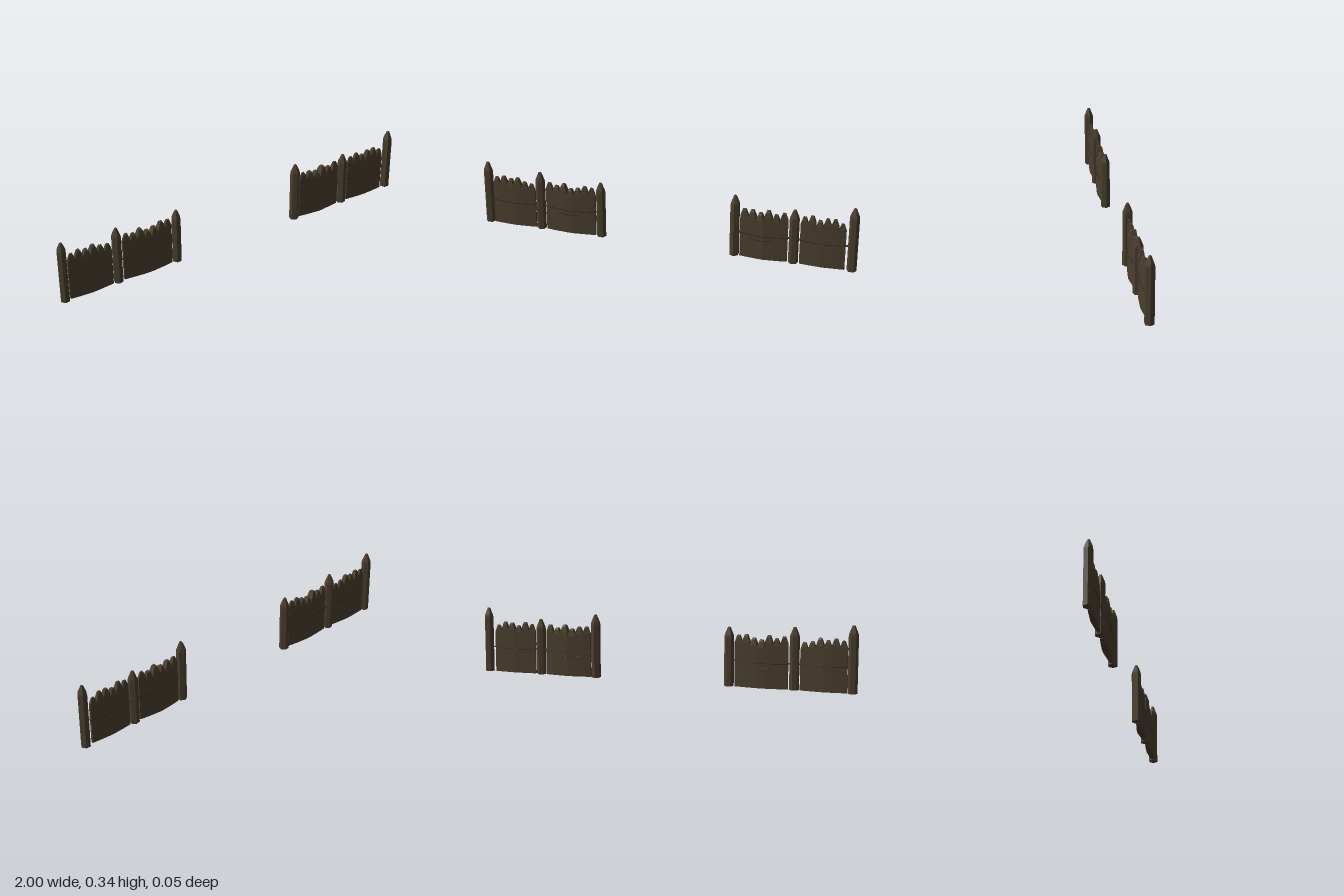
import * as THREE from 'three';

const wood = new THREE.MeshStandardMaterial({ color: 0x4a3e2e });
wood.name = 'darkWood';
const cord = new THREE.MeshStandardMaterial({ color: 0x2c241a });
cord.name = 'darkCord';

// closed flat-shaded solid from stacked rings of points (counter-clockwise seen from above)
function loft(rings) {
  const p = [];
  const n = rings[0].length;
  const tri = (a, b, c) => p.push(...a, ...b, ...c);
  for (let r = 0; r < rings.length - 1; r++) {
    for (let i = 0; i < n; i++) {
      const j = (i + 1) % n;
      const a = rings[r][i], b = rings[r][j], c = rings[r + 1][j], d = rings[r + 1][i];
      tri(a, b, c);
      tri(a, c, d);
    }
  }
  const lo = rings[0], hi = rings[rings.length - 1];
  for (let i = 1; i < n - 1; i++) {
    tri(lo[0], lo[i + 1], lo[i]);
    tri(hi[0], hi[i], hi[i + 1]);
  }
  const g = new THREE.BufferGeometry();
  g.setAttribute('position', new THREE.Float32BufferAttribute(p, 3));
  g.computeVertexNormals();
  return g;
}

// six-sided post with a blunt point
function makePost(x, height, turn) {
  const ring = (y, r) => Array.from({ length: 6 }, (_, i) => {
    const a = turn + i * Math.PI / 3;
    return [Math.cos(a) * r, y, -Math.sin(a) * r];
  });
  const geo = loft([
    ring(0, 0.025), ring(height - 0.05, 0.025),
    ring(height - 0.038, 0.0225), ring(height, 0.007),
  ]);
  const post = new THREE.Mesh(geo, wood);
  post.position.x = x;
  return post;
}

// panel of flat pointed stakes, thickest in the middle, with a cord along each side
function makePanel({ x0, x1, bulge, tops, strand }) {
  const panel = new THREE.Group();
  const mid = (x0 + x1) / 2, half = (x1 - x0) / 2;
  const depth = x => 0.006 + (bulge - 0.006) * Math.pow(Math.max(0, 1 - Math.abs(x - mid) / half), 0.8);
  const w = (x1 - x0) / tops.length;

  tops.forEach((top, i) => {
    const a = x0 + i * w, b = a + w, c = (a + b) / 2;
    const ring = (y, sx, sz) => {
      const l = c - w / 2 * sx, r = c + w / 2 * sx;
      const dl = depth(a) * sz, dr = depth(b) * sz;
      return [[l, y, dl], [r, y, dr], [r, y, -dr], [l, y, -dl]];
    };
    const stake = new THREE.Mesh(loft([
      ring(0, 1, 1), ring(top - 0.037, 1, 1), ring(top - 0.008, 0.5, 0.75), ring(top, 0.36, 0.5),
    ]), wood);
    stake.name = 'stake';
    panel.add(stake);
  });

  const addCord = (name, from, to, y, sag, side, radius) => {
    const pts = [];
    for (let i = 0; i <= 12; i++) {
      const t = i / 12, x = from + (to - from) * t;
      pts.push(new THREE.Vector3(x, y - sag * Math.sin(Math.PI * t), side * depth(x)));
    }
    const mesh = new THREE.Mesh(
      new THREE.TubeGeometry(new THREE.CatmullRomCurve3(pts), 24, radius, 5), cord);
    mesh.name = name;
    panel.add(mesh);
  };
  for (const side of [1, -1]) {
    addCord('crossCord', x0 - 0.012, x1 + 0.012, 0.132, 0.004, side, 0.0022);
    if (strand) addCord('looseStrand', mid - 0.06, mid + 0.05, 0.108, 0.004, side, 0.0014);
  }
  return panel;
}

export function createModel() {
  const model = new THREE.Group();
  model.name = 'fence';

  // posts: x, height, turn
  const posts = [
    [-0.975, 0.34, 0.15], [-0.682, 0.318, 0.3], [-0.346, 0.302, 0.1],
    [0.371, 0.33, 0.5], [0.677, 0.292, 0.25], [0.975, 0.34, 0],
  ];
  posts.forEach(([x, h, turn]) => {
    const post = makePost(x, h, turn);
    post.name = 'post';
    model.add(post);
  });

  // stake panels between the posts
  const panels = [
    { x0: -0.948, x1: -0.712, bulge: 0.016, tops: [0.262, 0.271, 0.26, 0.27, 0.252, 0.246] },
    { x0: -0.65, x1: -0.376, bulge: 0.021, strand: true, tops: [0.268, 0.256, 0.27, 0.246, 0.254, 0.27, 0.266] },
    { x0: 0.4, x1: 0.645, bulge: 0.021, strand: true, tops: [0.265, 0.262, 0.25, 0.268, 0.252, 0.266] },
    { x0: 0.709, x1: 0.938, bulge: 0.015, tops: [0.262, 0.272, 0.252, 0.266, 0.268, 0.25] },
  ];
  panels.forEach(spec => {
    const panel = makePanel(spec);
    panel.name = 'stakePanel';
    model.add(panel);
  });
  return model;
}
